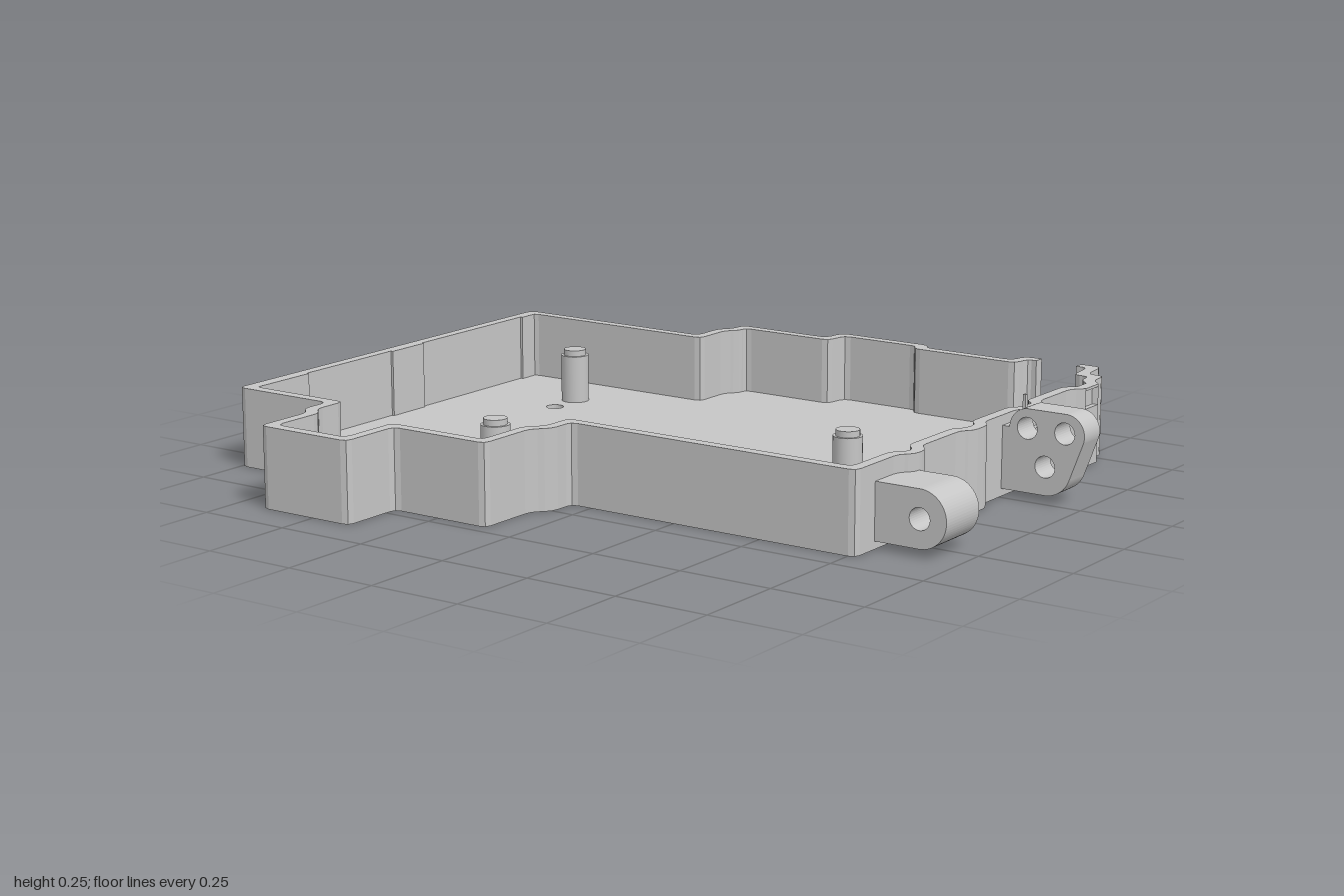
import * as THREE from 'three';

const WALL = 0.03, FLOOR = 0.03, TOP = 0.21;

// Case outline as [x, z]; a third value names an opening that spans to the next point
const OUTLINE = [
  [-1, -0.62], [-0.41, -0.62], [-0.41, -0.72], [-0.38, -0.75], [-0.38, -0.8], [-0.1, -0.8],
  [-0.09, -0.87], [0.19, -0.87], [0.2, -0.84], [0.47, -0.84], [0.48, -0.895],
  [0.53, -0.895, 'notch'], [0.65, -0.895], [0.71, -0.895], [0.72, -0.8], [0.77, -0.8],
  [0.77, -0.74], [0.8, -0.71, 'recess'], [0.8, -0.64], [0.77, -0.61],
  [0.77, -0.45], [0.795, -0.43, 'recess'], [0.795, -0.35], [0.77, -0.33],
  [0.77, -0.17], [0.795, -0.145], [0.795, -0.075], [0.77, -0.05],
  [0.77, 0.13], [0.8, 0.16], [0.8, 0.21], [0.77, 0.24], [0.77, 0.425],
  [-0.06, 0.425], [-0.06, 0.5], [-0.1, 0.54], [-0.1, 0.715], [-0.385, 0.715],
  [-0.385, 0.89], [-0.665, 0.89], [-0.665, 0.72], [-0.7, 0.69], [-0.7, 0.607], [-1, 0.607],
];
const N = OUTLINE.length;
const at = (list, i) => list[(i + N) % N];

// Moves every edge inwards by d
function inset(list, d) {
  return list.map((p, i) => {
    const normal = (a, b) => new THREE.Vector2(a[1] - b[1], b[0] - a[0]).normalize();
    const n1 = normal(at(list, i - 1), p), n2 = normal(p, at(list, i + 1));
    const k = d / (1 + n1.dot(n2));
    return [p[0] + (n1.x + n2.x) * k, p[1] + (n1.y + n2.y) * k];
  });
}

// Rounds the corners, except beside openings; three points per corner
function rounded(list) {
  return list.map((p, i) => {
    const v = new THREE.Vector2(p[0], p[1]);
    if (OUTLINE[i][2] || at(OUTLINE, i - 1)[2]) return [v, v, v];
    const toward = (q) => {
      const e = new THREE.Vector2(q[0], q[1]).sub(v);
      return e.setLength(Math.min(0.02, e.length() * 0.4)).add(v);
    };
    const a = toward(at(list, i - 1)), b = toward(at(list, i + 1));
    const mid = a.clone().add(b).multiplyScalar(0.25).addScaledVector(v, 0.5);
    return [a, mid, b];
  });
}

const outer = rounded(OUTLINE), inner = rounded(inset(OUTLINE, WALL));
const middle = rounded(inset(OUTLINE, WALL / 2));

function toShape(points, Type = THREE.Shape) {
  const clean = points.filter((p, i) => i === 0 || p.distanceTo(points[i - 1]) > 1e-6);
  return new Type(clean.map((p) => new THREE.Vector2(p.x, -p.y)));
}

function circlePath(x, y, r) {
  return new THREE.Path().absarc(x, y, r, 0, Math.PI * 2, true);
}

export function createModel() {
  const group = new THREE.Group();
  const grey = new THREE.MeshStandardMaterial({ color: 0xc6c6c6, side: THREE.DoubleSide });
  grey.name = 'casing grey';

  function add(name, geometry, x = 0, y = 0, z = 0) {
    const mesh = new THREE.Mesh(geometry, grey);
    mesh.name = name;
    mesh.position.set(x, y, z);
    group.add(mesh);
  }
  function slab(name, shape, y0, y1) {
    const geometry = new THREE.ExtrudeGeometry(shape, { depth: y1 - y0, bevelEnabled: false, curveSegments: 12 });
    add(name, geometry.rotateX(-Math.PI / 2), 0, y0, 0);
  }

  // Floor in two layers, with countersunk screw holes
  const screws = [[-0.67, -0.3], [-0.67, 0.28], [-0.095, 0.025], [0.48, -0.515], [0.48, 0.06]];
  [[0, 0.015, 0.038], [0.015, FLOOR, 0.024]].forEach(([y0, y1, r]) => {
    const shape = toShape(outer.flat());
    screws.forEach(([x, z]) => shape.holes.push(circlePath(x, -z, r)));
    slab('floor', shape, y0, y1);
  });
  screws.forEach(([x, z]) =>
    add('countersink', new THREE.CylinderGeometry(0.024, 0.038, 0.015, 24, 1, true), x, 0.0075, z));

  // Wall layer, broken at the named openings
  function wall(y0, y1, openings) {
    const open = (i) => openings.includes(at(OUTLINE, i)[2]);
    const starts = [...Array(N).keys()].filter((i) => open(i - 1));
    if (!starts.length) {
      const ring = toShape(outer.flat());
      ring.holes.push(toShape(inner.flat(), THREE.Path));
      slab('wall', ring, y0, y1);
    }
    starts.forEach((s) => {
      const out = [], back = [];
      for (let i = s; ; i++) {
        out.push(...at(outer, i));
        back.push(...at(inner, i));
        if (open(i)) break;
      }
      slab('wall', toShape([...out, ...back.reverse()]), y0, y1);
    });
  }
  wall(FLOOR, 0.06, []);
  wall(0.06, 0.155, ['notch']);
  wall(0.155, 0.203, ['notch', 'recess']);
  wall(0.203, TOP, ['notch']);

  // Backs of the shallow recesses in the side bumps
  OUTLINE.forEach((p, i) => {
    if (p[2] !== 'recess') return;
    slab('recessBack', toShape([middle[i][0], middle[i + 1][0], inner[i + 1][0], inner[i][0]]), 0.155, 0.203);
  });

  // Thicker strips inside the right-hand wall
  [[-0.59, -0.53], [-0.09, 0.04], [0.38, 0.575]].forEach(([a, b]) =>
    add('wallPad', new THREE.BoxGeometry(0.008, TOP - FLOOR, b - a), -0.967, (TOP + FLOOR) / 2, (a + b) / 2));

  // Stepped locating posts
  [[-0.675, -0.4], [0.46, -0.03], [-0.335, 0.38]].forEach(([x, z]) => {
    add('post', new THREE.CylinderGeometry(0.038, 0.038, 0.13, 24), x, FLOOR + 0.065, z);
    add('postTip', new THREE.CylinderGeometry(0.031, 0.031, 0.016, 24), x, FLOOR + 0.138, z);
  });

  // Side lugs, drawn in x and y and extruded along z
  function lug(name, shape, holes, z0, z1) {
    holes.forEach(([x, y]) => shape.holes.push(circlePath(x, y, 0.028)));
    const geometry = new THREE.ExtrudeGeometry(shape, { depth: z1 - z0, bevelEnabled: false, curveSegments: 16 });
    add(name, geometry, 0, 0, z0);
  }
  const pivot = [0.892, 0.093];
  const tab = new THREE.Shape();
  tab.moveTo(0.77, 0.02);
  tab.lineTo(0.892, 0.02);
  tab.absarc(0.892, 0.093, 0.073, -Math.PI / 2, Math.PI / 2, false);
  tab.lineTo(0.77, 0.166);
  lug('hingeTab', tab, [pivot], 0.19, 0.34);

  const bracket = new THREE.Shape();
  bracket.moveTo(0.77, 0.02);
  bracket.lineTo(0.892, 0.02);
  bracket.absarc(0.892, 0.093, 0.073, -Math.PI / 2, -0.3, false);
  bracket.absarc(0.948, 0.183, 0.052, -0.3, Math.PI / 2, false);
  bracket.lineTo(0.842, 0.235);
  bracket.absarc(0.842, 0.183, 0.052, Math.PI / 2, Math.PI, false);
  bracket.lineTo(0.77, 0.183);
  lug('bracket', bracket, [pivot, [0.84, 0.185], [0.945, 0.185]], -0.34, -0.26);

  // Thin upright pin beside the bracket
  add('pin', new THREE.BoxGeometry(0.008, 0.09, 0.01), 0.788, 0.205, -0.34);
  return group;
}
